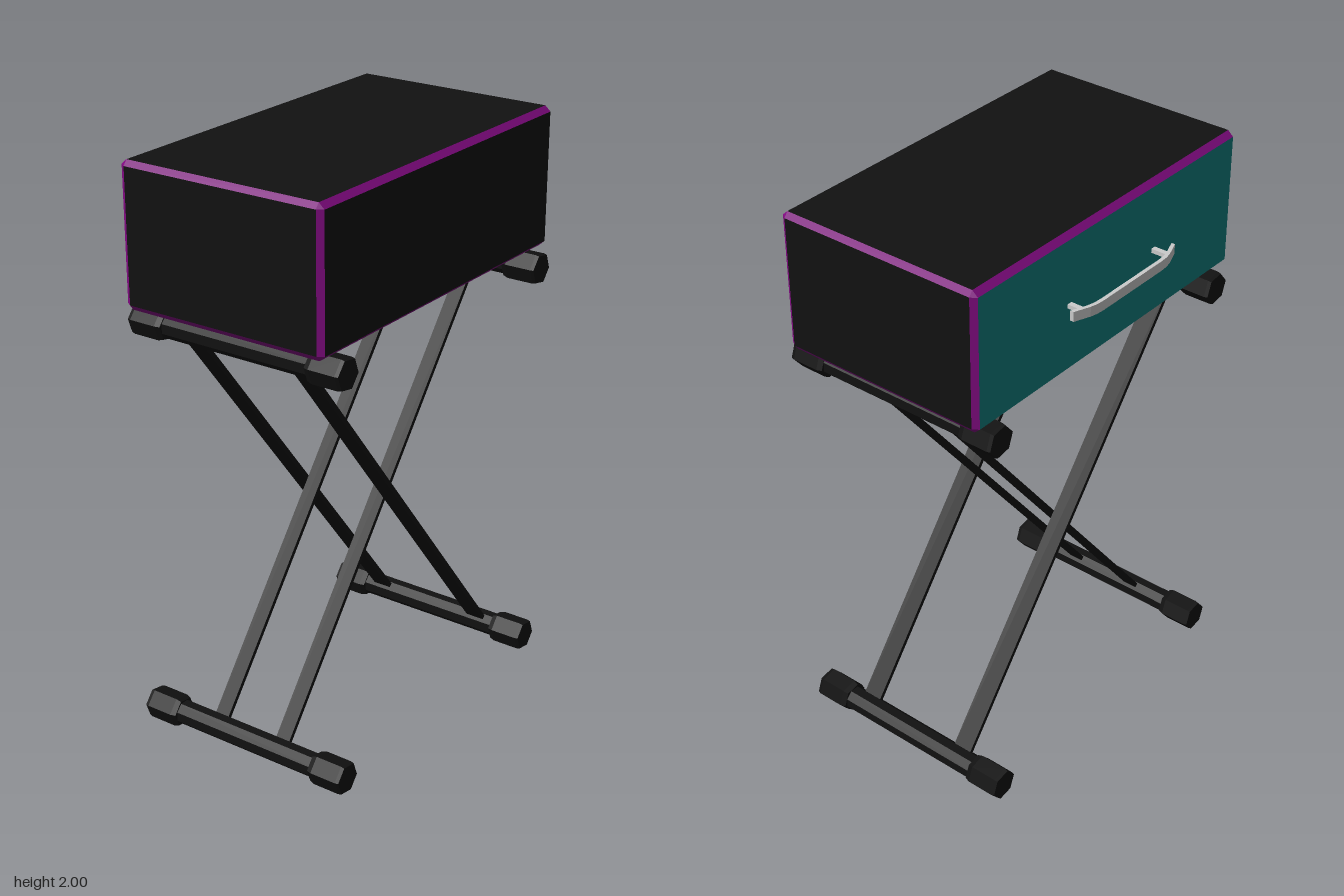
import * as THREE from 'three';

const mat = (color) => new THREE.MeshStandardMaterial({ color, flatShading: true });
const black = mat(0x111111), purple = mat(0x800a80), teal = mat(0x0f8080), grey = mat(0xcccccc);

function addMesh(parent, name, geometry, material, x = 0, y = 0, z = 0) {
  const mesh = new THREE.Mesh(geometry, material);
  mesh.name = name;
  mesh.position.set(x, y, z);
  parent.add(mesh);
  return mesh;
}

// Flat convex polygons around the origin, each wound to face outwards
function facesGeometry(polys) {
  const pos = [];
  for (const p of polys) {
    const n = p[1].clone().sub(p[0]).cross(p[2].clone().sub(p[0]));
    const q = n.dot(p[0]) < 0 ? [...p].reverse() : p;
    for (let i = 1; i < q.length - 1; i++) {
      for (const v of [q[0], q[i], q[i + 1]]) pos.push(v.x, v.y, v.z);
    }
  }
  const g = new THREE.BufferGeometry();
  g.setAttribute('position', new THREE.Float32BufferAttribute(pos, 3));
  g.computeVertexNormals();
  return g;
}

// Chamfered case: dark panels, teal back panel, purple edge trim
function createCase() {
  const group = new THREE.Group();
  group.name = 'case';
  const half = [0.64, 0.24, 0.375], bevel = [0.014, 0.018, 0.02];
  const corner = (face, s) => new THREE.Vector3(
    ...half.map((h, i) => s[i] * (i === face ? h : h - bevel[i])));
  const panels = [], back = [], trim = [];
  for (let a = 0; a < 3; a++) {
    const b = (a + 1) % 3, c = (a + 2) % 3;
    const sign = (sa, sb, sc) => {
      const s = [];
      s[a] = sa; s[b] = sb; s[c] = sc;
      return s;
    };
    for (const u of [-1, 1]) {
      const quad = [[-1, -1], [1, -1], [1, 1], [-1, 1]].map(([v, w]) => corner(a, sign(u, v, w)));
      (a === 2 && u === -1 ? back : panels).push(quad);
      for (const v of [-1, 1]) {
        const s0 = sign(u, v, -1), s1 = sign(u, v, 1);
        trim.push([corner(a, s0), corner(a, s1), corner(b, s1), corner(b, s0)]);
      }
    }
  }
  for (const x of [-1, 1]) for (const y of [-1, 1]) for (const z of [-1, 1]) {
    trim.push([0, 1, 2].map((f) => corner(f, [x, y, z])));
  }
  addMesh(group, 'casePanels', facesGeometry(panels), black);
  addMesh(group, 'backPanel', facesGeometry(back), teal);
  addMesh(group, 'edgeTrim', facesGeometry(trim), purple);
  group.position.set(0, 1.76, 0.017);
  return group;
}

// Bowed flat grip on two posts
function createHandle() {
  const group = new THREE.Group();
  group.name = 'handle';
  const side = [[0.255, 0.395], [0.2, 0.416], [0.175, 0.422], [0.145, 0.424]];
  const inner = [...side, ...side.map(([x, d]) => [-x, d]).reverse()];
  const outer = inner.map(([x, d]) => [x, d + 0.013]).reverse();
  const shape = new THREE.Shape([...inner, ...outer].map(([x, d]) => new THREE.Vector2(x, d)));
  const geometry = new THREE.ExtrudeGeometry(shape, { depth: 0.034, bevelEnabled: false });
  geometry.translate(0, 0, -0.017).rotateX(-Math.PI / 2);
  addMesh(group, 'grip', geometry, grey, 0, 1.76, 0);
  for (const x of [-0.21, 0.21]) {
    addMesh(group, 'handlePost', new THREE.BoxGeometry(0.018, 0.014, 0.066), grey, x, 1.76, -0.387);
  }
  return group;
}

// Cross rod with hexagonal rubber caps
function createCrossRod(x, y) {
  const group = new THREE.Group();
  group.name = 'crossRod';
  const rod = new THREE.CylinderGeometry(0.042, 0.042, 0.72, 8).rotateY(Math.PI / 8).rotateX(Math.PI / 2);
  addMesh(group, 'rod', rod, black, 0, 0, 0.022);
  const profile = [[0, -0.066], [0.05, -0.066], [0.056, -0.048], [0.056, 0.048], [0.053, 0.06], [0, 0.066]]
    .map(([r, h]) => new THREE.Vector2(r, h));
  for (const z of [0.364, -0.32]) {
    const cap = new THREE.LatheGeometry(profile, 6);
    cap.rotateY(Math.PI / 2 - 0.17).rotateX(z > 0 ? Math.PI / 2 : -Math.PI / 2);
    if (z < 0) cap.rotateZ(-0.34);
    addMesh(group, 'endCap', cap, black, 0, 0, z);
  }
  group.position.set(x, y, 0);
  return group;
}

export function createModel() {
  const model = new THREE.Group();
  model.name = 'caseOnFoldingStand';
  model.add(createCase(), createHandle());

  const rodX = 0.555, lowY = 0.057, highY = 1.465;
  for (const x of [-rodX, rodX]) for (const y of [lowY, highY]) model.add(createCrossRod(x, y));

  // Crossed flat legs: wide outer pair one way, narrow inner pair the other
  const length = Math.hypot(2 * rodX, highY - lowY), lean = Math.atan2(2 * rodX, highY - lowY);
  const legs = [
    ['outerLeg', 0.228, 0.069, 1], ['outerLeg', -0.183, 0.069, 1],
    ['innerLeg', 0.15, 0.053, -1], ['innerLeg', -0.104, 0.053, -1],
  ];
  for (const [name, z, width, dir] of legs) {
    const leg = addMesh(model, name, new THREE.BoxGeometry(0.016, length, width), black,
      0, (lowY + highY) / 2, z);
    leg.rotation.z = dir * lean;
  }
  return model;
}
